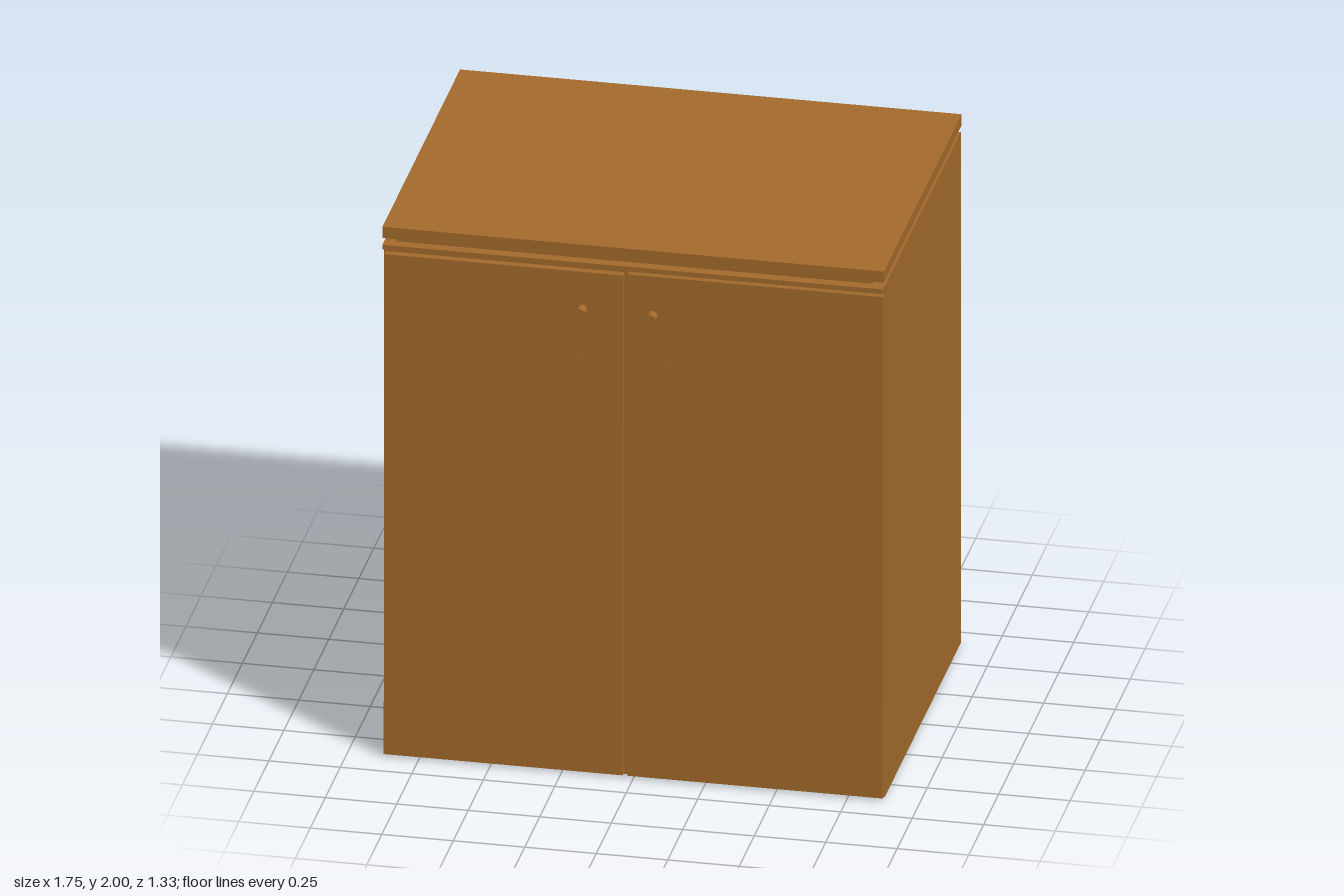
import * as THREE from 'three';

export function createModel() {
  const cabinet = new THREE.Group();
  cabinet.name = 'cabinet';
  const wood = new THREE.MeshStandardMaterial({ color: 0xa56b2c });
  wood.name = 'brown wood';

  const add = (name, geometry, x, y, z) => {
    const mesh = new THREE.Mesh(geometry, wood);
    mesh.name = name;
    mesh.position.set(x, y, z);
    cabinet.add(mesh);
    return mesh;
  };
  // Box given by its lower and upper limits on each axis
  const box = (name, [x0, x1], [y0, y1], [z0, z1]) =>
    add(name, new THREE.BoxGeometry(x1 - x0, y1 - y0, z1 - z0),
      (x0 + x1) / 2, (y0 + y1) / 2, (z0 + z1) / 2);

  // Carcass, recessed neck and worktop
  box('carcass', [-0.878, 0.873], [0, 1.932], [-0.665, 0.602]);
  box('neck', [-0.836, 0.828], [1.932, 1.958], [-0.622, 0.592]);
  box('worktop', [-0.878, 0.876], [1.958, 2], [-0.665, 0.63]);
  box('frontRail', [-0.878, 0.871], [1.914, 1.932], [0.602, 0.63]);

  // Doors hang very slightly out at the bottom
  const doors = [
    ['rightDoor', [-0.872, -0.037], [0.01, 1.897]],
    ['leftDoor', [-0.02, 0.873], [0.01, 1.903]],
  ];
  for (const [name, xs, ys] of doors) {
    box(name, xs, ys, [0.602, 0.633]).rotation.x = -0.0035;
  }

  // Round knobs, each above a thin disc nearly flush with its door
  const knob = new THREE.CylinderGeometry(0.019, 0.019, 0.046, 16).rotateX(Math.PI / 2);
  const disc = new THREE.CylinderGeometry(0.07, 0.07, 0.01, 32).rotateX(Math.PI / 2);
  for (const [side, knobX, discX] of [['right', -0.18, -0.155], ['left', 0.066, 0.08]]) {
    add(side + 'Knob', knob, knobX, 1.755, 0.645);
    add(side + 'Disc', disc, discX, 1.52, 0.6275);
  }
  return cabinet;
}
